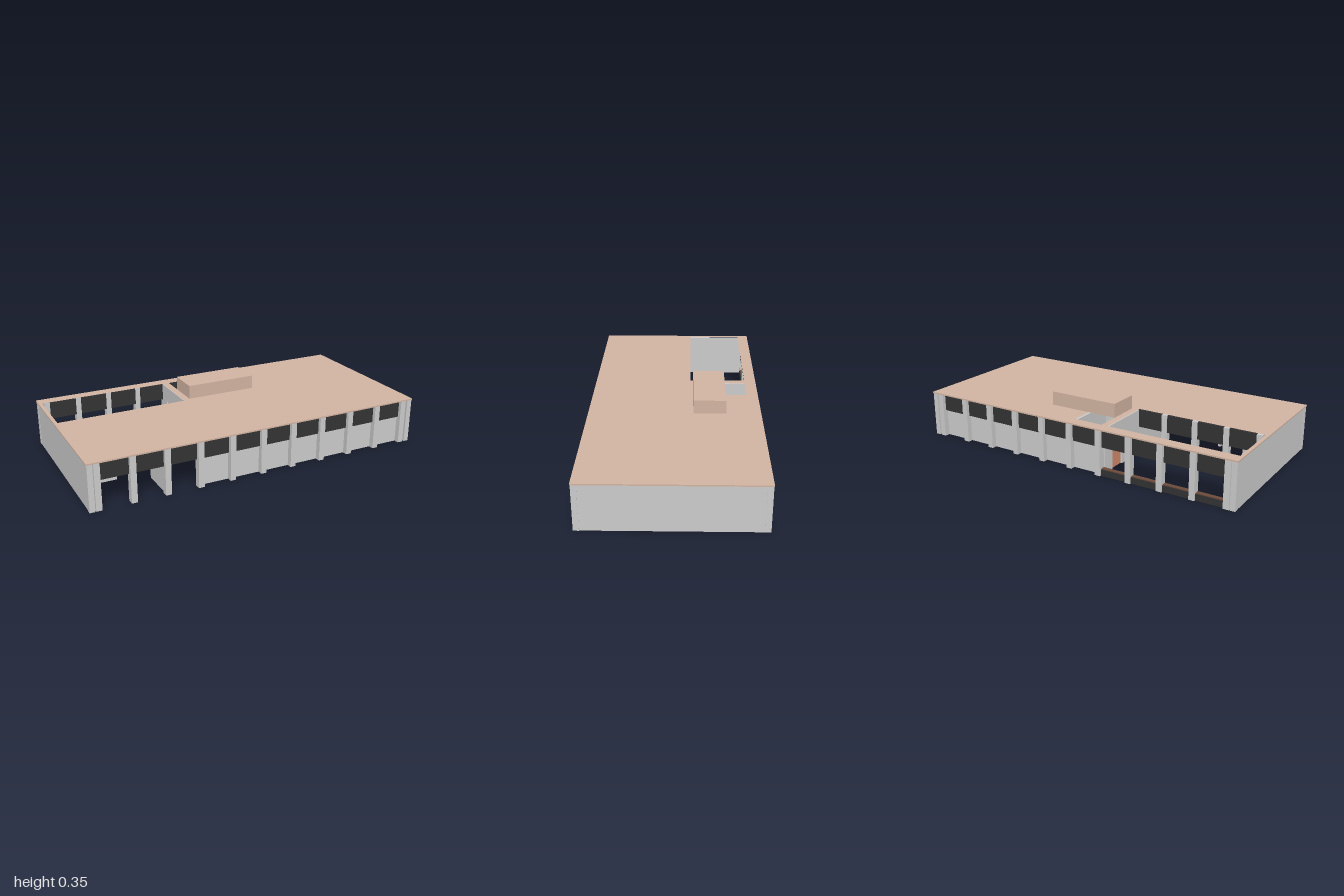
import * as THREE from 'three';

const mat = (color) => new THREE.MeshStandardMaterial({ color, flatShading: true });

export function createModel() {
  const model = new THREE.Group();
  const grey = mat(0xcccccc), dark = mat(0x333333), tan = mat(0xd2b4a2);
  const salmon = mat(0xd08a6a), brown = mat(0x6b4a3a);

  // box given by its limits on each axis
  const box = (name, material, x0, x1, y0, y1, z0, z1) => {
    const mesh = new THREE.Mesh(new THREE.BoxGeometry(x1 - x0, y1 - y0, z1 - z0), material);
    mesh.position.set((x0 + x1) / 2, (y0 + y1) / 2, (z0 + z1) / 2);
    mesh.name = name;
    model.add(mesh);
    return mesh;
  };
  const rect = (Type, x0, x1, z0, z1) => new Type([[x0, z0], [x1, z0], [x1, z1], [x0, z1]]
    .map(([x, z]) => new THREE.Vector2(x, -z)));

  // flat roof with courtyard and light well openings
  const outline = rect(THREE.Shape, -1, 1, -0.487, 0.487);
  outline.holes.push(rect(THREE.Path, -0.98, -0.22, -0.42, -0.09));
  outline.holes.push(rect(THREE.Path, -0.18, -0.01, -0.42, -0.29));
  const roofShape = new THREE.ExtrudeGeometry(outline, { depth: 0.008, bevelEnabled: false });
  roofShape.rotateX(-Math.PI / 2);
  const roof = new THREE.Mesh(roofShape, tan);
  roof.position.y = 0.262;
  roof.name = 'roof';
  model.add(roof);
  box('rooftopHousing', tan, -0.18, 0.24, 0.27, 0.35, -0.29, -0.105);

  // end walls and corner posts
  for (const s of [-1, 1]) {
    box('endWall', grey, s * 0.987 - 0.008, s * 0.987 + 0.008, 0, 0.262, -0.46, 0.46);
    for (const t of [-1, 1]) {
      box('cornerPost', grey, s * 0.982 - 0.015, s * 0.982 + 0.015, 0, 0.262, t * 0.47 - 0.015, t * 0.47 + 0.015);
    }
  }

  // facades: columns, dark header panels and infill walls bay by bay
  const pitch = 0.1885, half = 0.0165;
  const columnX = (k) => -0.946 + pitch * k;
  for (const t of [-1, 1]) {
    for (let k = 0; k <= 10; k++) {
      const x = columnX(k);
      box('column', grey, x - half, x + half, 0, 0.262, t * 0.465 - 0.02, t * 0.465 + 0.02);
      if (k === 10) break;
      const x0 = x + half, x1 = columnX(k + 1) - half;
      box('headerPanel', dark, x0, x1, 0.16, 0.262, t * 0.452 - 0.013, t * 0.452 + 0.013);
      const open = t > 0 ? k < 3 : k < 4;
      if (!open) box('infillWall', grey, x0 - half, x1 + half, 0, 0.16, t * 0.448 - 0.006, t * 0.448 + 0.006);
      // low planters along the open courtyard bays
      if (t < 0 && open) {
        box('planter', dark, x0, x1, 0, 0.036, -0.475, -0.44);
        box('planterTop', brown, x0, x1, 0.036, 0.04, -0.47, -0.445);
      }
    }
  }

  // inner colonnade on the courtyard side
  for (let k = 0; k < 4; k++) {
    const x = columnX(k);
    box('courtColumn', grey, x - half, x + half, 0, 0.262, -0.09, -0.055);
    box('courtHeader', dark, x + half, columnX(k + 1) - half, 0.16, 0.262, -0.085, -0.06);
  }

  // inside partitions
  box('crossWall', grey, -0.215, -0.185, 0, 0.262, -0.27, 0.442);
  box('crossWallEnd', grey, -0.215, -0.185, 0, 0.262, -0.442, -0.37);
  box('doorHead', grey, -0.215, -0.185, 0.17, 0.262, -0.37, -0.27);
  box('door', salmon, -0.205, -0.195, 0, 0.17, -0.37, -0.27);
  box('wellSideWall', grey, -0.01, 0.01, 0, 0.262, -0.442, -0.1);
  box('wellFrontWall', grey, -0.185, 0.01, 0, 0.262, -0.115, -0.095);
  box('porchWall', grey, -0.98, -0.75, 0, 0.262, 0.17, 0.19);
  box('porchSideWall', grey, -0.578, -0.562, 0, 0.262, 0.25, 0.445);

  return model;
}
